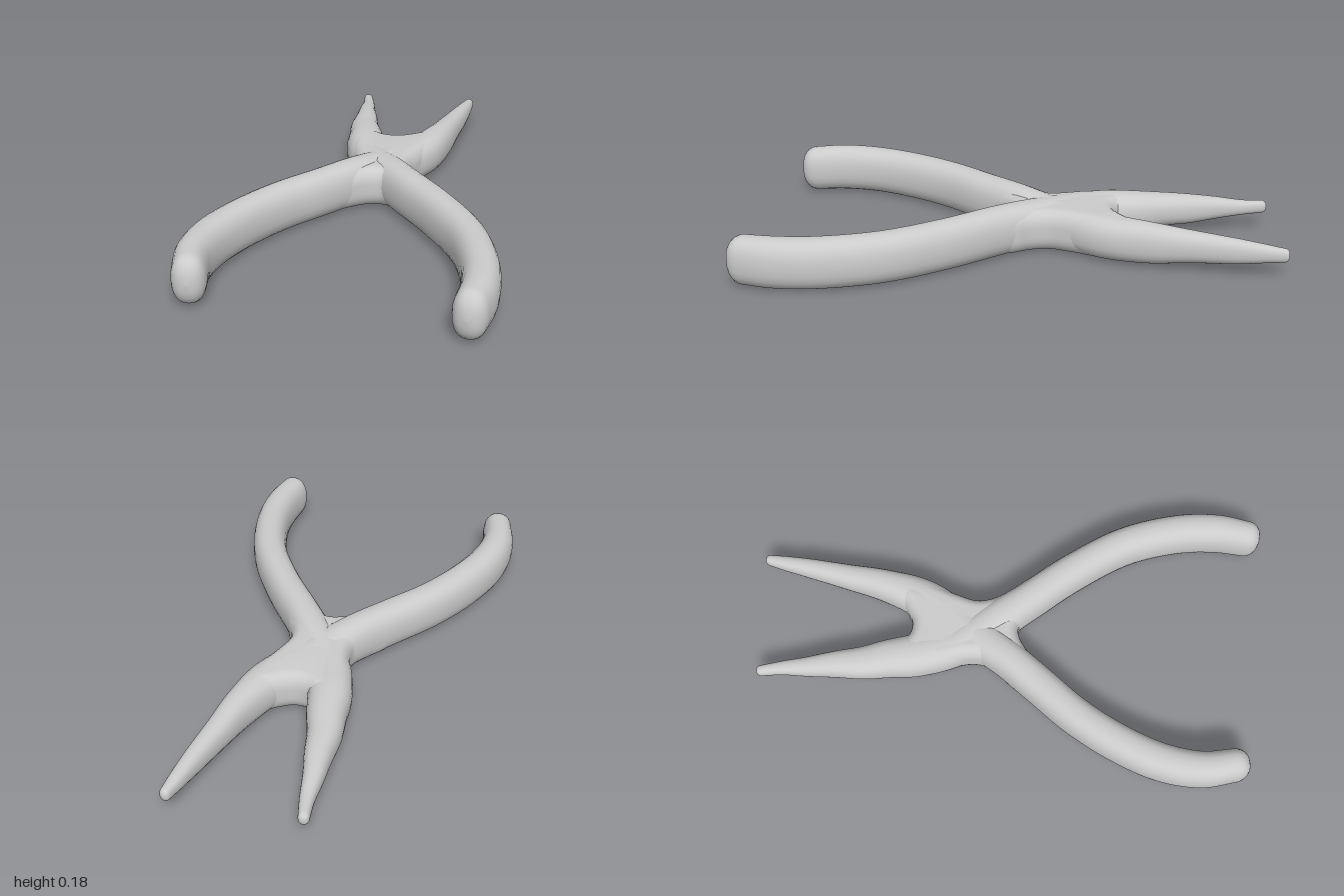
import * as THREE from 'three';
import { toCreasedNormals } from 'three/addons/utils/BufferGeometryUtils.js';

const SIDES = 24;
const CAP = 6;

// Sweeps a soft oval section along stations [x, z, centreY, halfWidth, halfHeight], with round ends
function sweep(stations, steps) {
  const path = new THREE.CatmullRomCurve3(stations.map(([x, z, y]) => new THREE.Vector3(x, y, z)));
  const size = new THREE.CatmullRomCurve3(
    stations.map(([, , , w, h]) => new THREE.Vector3(w, h, 0)), false, 'catmullrom');
  const pos = [];
  const index = [];
  let rings = 0;

  function ring(t, push, scale) {
    const tan = path.getTangent(t);
    const s = size.getPoint(t);
    const c = path.getPoint(t).addScaledVector(tan, push * s.x);
    const len = Math.hypot(tan.x, tan.z);
    const side = new THREE.Vector3(tan.z / len, 0, -tan.x / len);
    for (let j = 0; j < SIDES; j++) {
      const a = (j / SIDES) * Math.PI * 2;
      const soft = (v) => Math.sign(v) * Math.abs(v) ** 0.85;
      const u = soft(Math.cos(a)) * s.x * scale;
      const v = soft(Math.sin(a)) * s.y * scale;
      pos.push(c.x + side.x * u, c.y + v, c.z + side.z * u);
    }
    rings++;
  }

  for (let k = CAP; k > 0; k--) {
    const a = (k / CAP) * Math.PI / 2;
    ring(0, -Math.sin(a), Math.max(Math.cos(a), 0.001) ** 0.8);
  }
  for (let i = 0; i <= steps; i++) ring(i / steps, 0, 1);
  for (let k = 1; k <= CAP; k++) {
    const a = (k / CAP) * Math.PI / 2;
    ring(1, Math.sin(a), Math.max(Math.cos(a), 0.001) ** 0.8);
  }

  for (let i = 0; i < rings - 1; i++) {
    for (let j = 0; j < SIDES; j++) {
      const a = i * SIDES + j;
      const b = i * SIDES + (j + 1) % SIDES;
      index.push(a, b, a + SIDES, b, b + SIDES, a + SIDES);
    }
  }
  const geo = new THREE.BufferGeometry();
  geo.setAttribute('position', new THREE.Float32BufferAttribute(pos, 3));
  geo.setIndex(index);
  geo.computeVertexNormals();
  return geo;
}

// Flat body with a closed smooth outline of [x, z] points and rounded rims
function roundedPlate(outline, bottom, top, rim) {
  const curve = new THREE.CatmullRomCurve3(
    outline.map(([x, z]) => new THREE.Vector3(x, -z, 0)), true);
  const pts = curve.getPoints(120).slice(0, -1).map((p) => new THREE.Vector2(p.x, p.y));
  const geo = new THREE.ExtrudeGeometry(new THREE.Shape(pts), {
    depth: top - bottom - 2 * rim, bevelThickness: rim,
    bevelSize: 0.045, bevelOffset: -0.045, bevelSegments: 7,
  });
  geo.rotateX(-Math.PI / 2);
  geo.translate(0, bottom + rim, 0);
  return toCreasedNormals(geo, 0.9);
}

export function createModel() {
  const group = new THREE.Group();
  group.name = 'pliers';
  const material = new THREE.MeshStandardMaterial({ color: 0xcccccc });
  const add = (name, geo) => {
    const mesh = new THREE.Mesh(geo, material);
    mesh.name = name;
    group.add(mesh);
  };

  // Wide-swinging handle, crossing the pivot into the slanted jaw
  add('outerLever', sweep([
    [-0.595, 0.615, 0.09, 0.058, 0.088],
    [-0.58, 0.5, 0.09, 0.063, 0.09],
    [-0.52, 0.37, 0.09, 0.066, 0.09],
    [-0.41, 0.235, 0.09, 0.066, 0.09],
    [-0.27, 0.11, 0.09, 0.066, 0.09],
    [-0.12, 0.01, 0.09, 0.067, 0.09],
    [0.02, -0.085, 0.09, 0.068, 0.09],
    [0.17, -0.2, 0.082, 0.08, 0.08],
    [0.32, -0.32, 0.082, 0.074, 0.079],
    [0.415, -0.45, 0.082, 0.057, 0.074],
    [0.485, -0.58, 0.084, 0.045, 0.058],
    [0.56, -0.72, 0.084, 0.034, 0.045],
    [0.605, -0.81, 0.085, 0.026, 0.032],
    [0.63, -0.86, 0.085, 0.019, 0.025],
  ], 90));

  // Straighter handle, crossing the pivot into the long jaw
  add('innerLever', sweep([
    [0.26, 0.935, 0.09, 0.058, 0.088],
    [0.305, 0.84, 0.09, 0.064, 0.09],
    [0.34, 0.7, 0.09, 0.066, 0.09],
    [0.343, 0.48, 0.09, 0.066, 0.09],
    [0.285, 0.25, 0.09, 0.066, 0.09],
    [0.21, 0.05, 0.09, 0.067, 0.09],
    [0.165, -0.08, 0.088, 0.072, 0.087],
    [0.11, -0.25, 0.082, 0.074, 0.08],
    [0.11, -0.4, 0.082, 0.078, 0.08],
    [0.122, -0.5, 0.083, 0.07, 0.073],
    [0.13, -0.6, 0.084, 0.06, 0.062],
    [0.15, -0.7, 0.084, 0.048, 0.055],
    [0.166, -0.8, 0.085, 0.036, 0.042],
    [0.186, -0.9, 0.085, 0.025, 0.028],
    [0.195, -0.975, 0.085, 0.019, 0.024],
  ], 100));

  // Pivot body filling the corners between handles and jaws
  add('pivotBody', roundedPlate([
    [-0.12, -0.06], [-0.04, -0.12], [0.015, -0.165], [0.036, -0.22], [0.04, -0.32],
    [0.065, -0.41], [0.12, -0.45], [0.17, -0.43], [0.195, -0.403], [0.235, -0.387],
    [0.285, -0.395], [0.34, -0.41], [0.38, -0.385], [0.38, -0.31], [0.3, -0.2],
    [0.255, -0.13], [0.249, -0.07], [0.262, 0.0], [0.25, 0.06], [0.19, 0.07],
    [0.145, 0.025], [0.11, -0.008], [0.065, -0.012], [0.0, 0.008], [-0.08, 0.04],
    [-0.13, 0.01],
  ], 0.004, 0.16, 0.06));

  return group;
}
